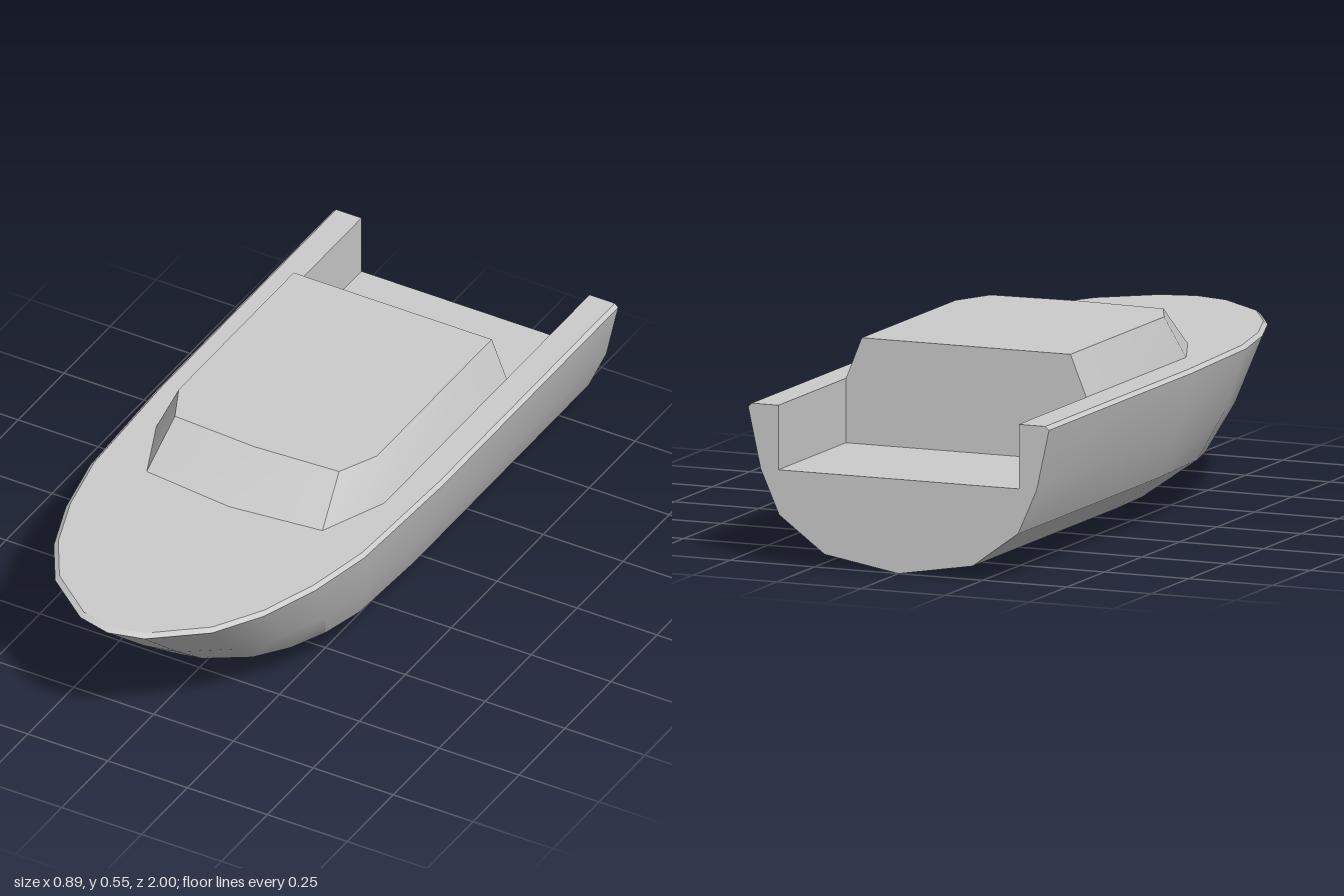
import * as THREE from 'three';
import { toCreasedNormals } from 'three/addons/utils/BufferGeometryUtils.js';

const STERN = -1, DECK_Y = 0.438, FLOOR_Y = 0.26;
const WELL_X = 0.357, WELL_Z = -0.55, BEAM = 0.447;

// Half outline of the sheer in plan, stern to bow: [x, z]
const PLAN = [[BEAM, STERN], [BEAM, -0.5], [BEAM, -0.05], [0.43, 0.35], [0.39, 0.55],
  [0.33, 0.72], [0.245, 0.86], [0.1, 0.975], [0, 1]];

// Hull waterlines, keel to sheer: [y, half width, bow z]
const LEVELS = [[0, 0, 0.27], [0.037, 0.22, 0.43], [0.136, 0.355, 0.64],
  [0.26, 0.41, 0.8], [0.428, BEAM, 1]];
const RIM = [DECK_Y, 0.436, 0.985];

// Mirrors a half outline that ends on the centre line
function mirror(half) {
  return [...half, ...half.slice(0, -1).reverse().map(([x, z]) => [-x, z])];
}

function ring([y, width, bow]) {
  return mirror(PLAN.map(([x, z]) => [x * width / BEAM, z > 0 ? z * bow : z]))
    .map(([x, z]) => [x, y, z]);
}

// Skins a stack of open rings, lowest first
function skin(rings) {
  const n = rings[0].length, index = [];
  for (let i = 0; i < rings.length - 1; i++) {
    for (let j = 0; j < n - 1; j++) {
      const a = i * n + j, b = a + n;
      index.push(a, b, a + 1, b, b + 1, a + 1);
    }
  }
  const g = new THREE.BufferGeometry();
  g.setAttribute('position', new THREE.Float32BufferAttribute(rings.flat(2), 3));
  g.setIndex(index);
  return toCreasedNormals(g, THREE.MathUtils.degToRad(25));
}

function face(points) {
  return new THREE.ShapeGeometry(new THREE.Shape(points.map(([x, y]) => new THREE.Vector2(x, y))));
}

// Horizontal face from plan points [x, z]
function level(points, y) {
  return face(points.map(([x, z]) => [x, -z])).rotateX(-Math.PI / 2).translate(0, y, 0);
}

// Upright face looking aft
function aft(points, z) {
  return face(points).rotateY(Math.PI).translate(0, 0, z);
}

export function createModel() {
  const model = new THREE.Group();
  const material = new THREE.MeshStandardMaterial({ color: 0xcccccc, side: THREE.DoubleSide });
  const add = (name, geometry) => {
    const mesh = new THREE.Mesh(geometry, material);
    mesh.name = name;
    model.add(mesh);
    return mesh;
  };

  // Hull and bevelled rim
  add('hull', skin(LEVELS.map(ring)));
  add('rim', skin([ring(LEVELS[4]), ring(RIM)]));

  // Deck, open at the stern for the cockpit
  const well = [[-WELL_X, STERN], [-WELL_X, WELL_Z], [WELL_X, WELL_Z], [WELL_X, STERN]];
  add('deck', level([...ring(RIM).map(([x, , z]) => [x, z]), ...well], DECK_Y));

  // Transom with the cockpit notch
  const side = [...LEVELS, RIM].map(([y, x]) => [x, y]);
  add('transom', aft([
    ...side, [WELL_X, DECK_Y], [WELL_X, FLOOR_Y], [-WELL_X, FLOOR_Y], [-WELL_X, DECK_Y],
    ...side.slice(1).reverse().map(([x, y]) => [-x, y]),
  ], STERN));

  // Cockpit floor and side walls
  add('cockpitFloor', level(well, FLOOR_Y));
  for (const s of [1, -1]) {
    const wall = new THREE.PlaneGeometry(WELL_Z - STERN, DECK_Y - FLOOR_Y);
    wall.rotateY(-s * Math.PI / 2);
    wall.translate(s * WELL_X, (DECK_Y + FLOOR_Y) / 2, (STERN + WELL_Z) / 2);
    add(s > 0 ? 'leftCockpitWall' : 'rightCockpitWall', wall);
  }

  // Cabin with sloping sides and windscreen
  const roofY = 0.553;
  const base = mirror([[WELL_X, WELL_Z], [WELL_X, 0.115], [0.275, 0.31], [0, 0.34]]);
  const roof = mirror([[0.31, WELL_Z], [0.31, 0.075], [0.257, 0.188], [0, 0.203]]);
  const raise = (pts, y) => pts.map(([x, z]) => [x, y, z]);
  add('cabinSides', skin([raise(base, DECK_Y), raise(roof, roofY)]));
  add('cabinRoof', level(roof, roofY));
  add('cabinBack', aft([[WELL_X, FLOOR_Y], [WELL_X, DECK_Y], [0.31, roofY],
    [-0.31, roofY], [-WELL_X, DECK_Y], [-WELL_X, FLOOR_Y]], WELL_Z));

  return model;
}
